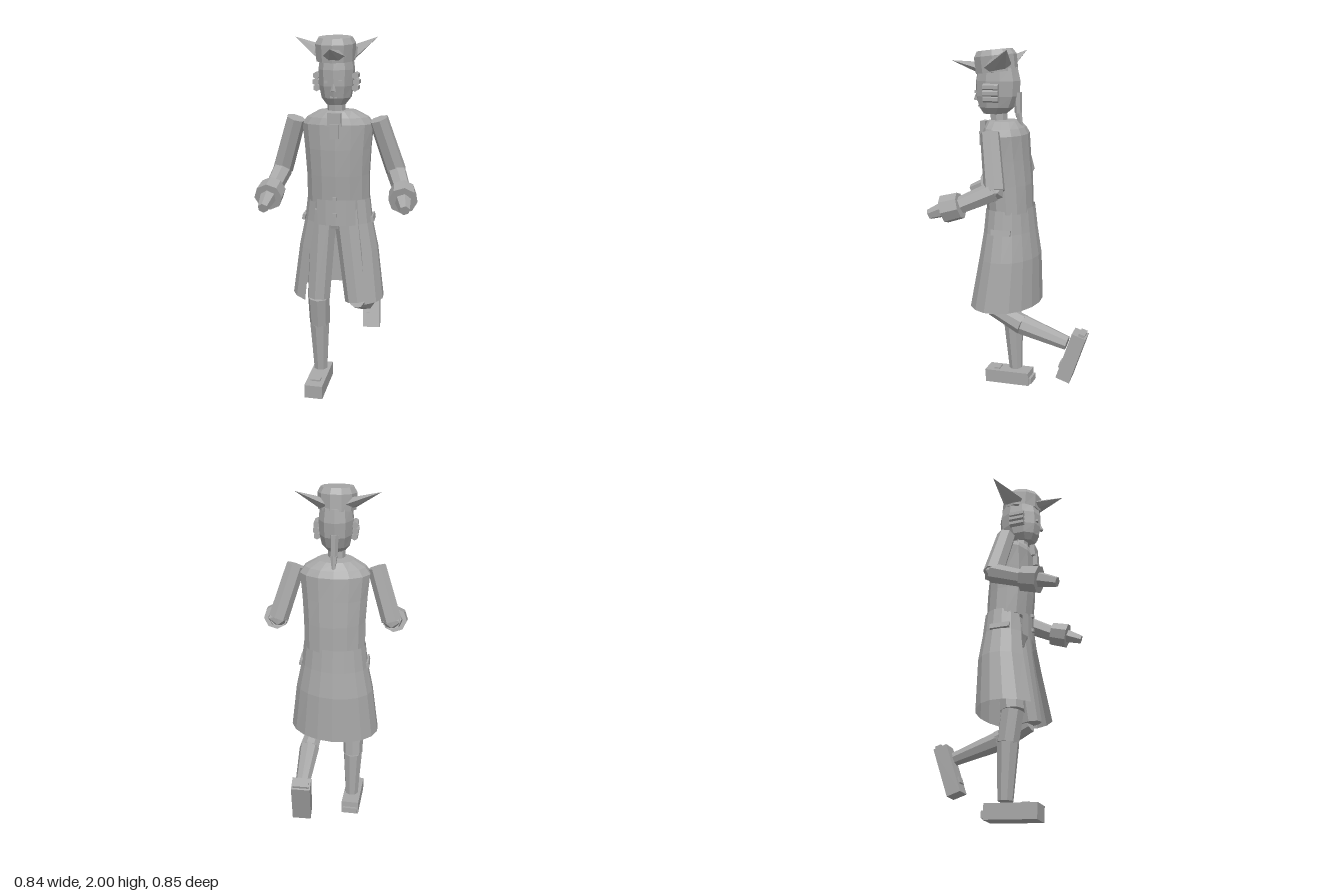
import * as THREE from 'three';

const V = (x, y, z) => new THREE.Vector3(x, y, z);

export function createModel() {
  const root = new THREE.Group();
  const clay = new THREE.MeshStandardMaterial({ color: 0xa8a8a8, flatShading: true, side: THREE.DoubleSide });
  clay.name = 'plain grey';

  function add(name, geometry, parent = root) {
    const mesh = new THREE.Mesh(geometry, clay);
    mesh.name = name;
    parent.add(mesh);
    return mesh;
  }
  function box(name, size, pos, parent) {
    const mesh = add(name, new THREE.BoxGeometry(...size), parent);
    mesh.position.set(...pos);
    return mesh;
  }
  // Tapered round bar between two points
  function bar(name, a, b, ra, rb, sides = 8) {
    const p = V(...a), q = V(...b), dir = q.clone().sub(p);
    const mesh = add(name, new THREE.CylinderGeometry(rb, ra, dir.length(), sides));
    mesh.position.copy(p).add(q).multiplyScalar(0.5);
    mesh.quaternion.setFromUnitVectors(V(0, 1, 0), dir.normalize());
    return mesh;
  }
  // Surface through a stack of point rows
  function skin(rows) {
    const pos = [];
    for (let i = 0; i < rows.length - 1; i++) {
      for (let j = 0; j < rows[i].length - 1; j++) {
        const a = rows[i][j], b = rows[i][j + 1], c = rows[i + 1][j + 1], d = rows[i + 1][j];
        for (const p of [a, b, c, a, c, d]) pos.push(p.x, p.y, p.z);
      }
    }
    const g = new THREE.BufferGeometry();
    g.setAttribute('position', new THREE.Float32BufferAttribute(pos, 3));
    g.computeVertexNormals();
    return g;
  }
  // Elliptical rows from the bottom up: [y, centre z, radius x, radius z]
  const CX = -0.015;
  function rings(rows, sides, from = 0, to = Math.PI * 2, shear = 0) {
    return skin(rows.map(([y, cz, rx, rz]) => Array.from({ length: sides + 1 }, (_, i) => {
      const t = from + (to - from) * i / sides;
      const x = rx * Math.sin(t);
      return V(CX + x, y, cz + rz * Math.cos(t) + shear * x);
    })));
  }

  // Coat: body, waist front, open skirt
  add('coatBody', rings([
    [1.13, 0.06, 0, 0], [1.13, 0.06, 0.172, 0.125], [1.28, 0.07, 0.172, 0.13], [1.42, 0.08, 0.18, 0.127],
    [1.55, 0.085, 0.192, 0.122], [1.585, 0.09, 0.165, 0.108], [1.62, 0.1, 0.1, 0.085], [1.625, 0.12, 0, 0],
  ], 14));
  add('waistFront', rings([[1.01, 0.06, 0.174, 0.13], [1.15, 0.06, 0.174, 0.13]], 4, -0.64, 0.64));
  add('coatSkirt', rings([
    [0.59, 0.085, 0.258, 0.195], [0.87, 0.062, 0.222, 0.165], [1.02, 0.06, 0.19, 0.142], [1.15, 0.06, 0.174, 0.128],
  ], 14, 0.7, Math.PI * 2 - 0.7, 0.08));
  add('breechesSeat', rings([
    [0.98, 0.07, 0, 0], [0.98, 0.07, 0.1, 0.07], [1.05, 0.07, 0.14, 0.09], [1.14, 0.06, 0.15, 0.1],
  ], 10));
  for (const y of [1.38, 1.16, 1.07]) {
    box('button', [0.02, 0.02, 0.02], [-0.02, y, 0.192], root);
  }
  for (const s of [-1, 1]) {
    const flap = box('pocketFlap', [0.016, 0.03, 0.11], [CX + s * 0.188, 1.035, 0.06], root);
    flap.rotation.z = s * 0.2;
  }

  // Neck and cravat
  bar('neck', [-0.018, 1.59, 0.125], [-0.018, 1.69, 0.13], 0.048, 0.048);
  box('cravatKnot', [0.07, 0.07, 0.03], [-0.017, 1.58, 0.21], root);
  box('cravatFall', [0.045, 0.075, 0.025], [-0.016, 1.52, 0.222], root);

  // Head, face and hair
  add('head', rings([
    [1.655, 0.15, 0, 0], [1.655, 0.15, 0.05, 0.065], [1.69, 0.14, 0.078, 0.1], [1.75, 0.133, 0.09, 0.123],
    [1.83, 0.13, 0.094, 0.126], [1.9, 0.13, 0.085, 0.11], [1.91, 0.13, 0, 0],
  ], 10));
  for (const s of [-1, 1]) {
    box('eye', [0.018, 0.014, 0.014], [-0.018 + s * 0.036, 1.772, 0.244], root);
    for (const [y, out] of [[1.8, 0.1], [1.768, 0.104], [1.738, 0.099]]) {
      bar('sideCurl', [CX + s * out, y, 0.095], [CX + s * out, y, 0.18], 0.018, 0.018, 6);
    }
  }
  bar('nose', [-0.016, 1.765, 0.25], [-0.016, 1.725, 0.258], 0.006, 0.014, 4);
  box('mouth', [0.035, 0.008, 0.01], [-0.016, 1.695, 0.235], root);
  bar('ponytail', [-0.015, 1.77, 0.02], [-0.013, 1.66, 0.015], 0.022, 0.02, 6);
  bar('ponytailEnd', [-0.013, 1.66, 0.015], [-0.012, 1.59, -0.002], 0.02, 0.01, 6);

  // Three-cornered hat, dipping slightly to the front
  const crown = add('hatCrown', rings([
    [-0.055, 0, 0.1, 0.118], [0.03, 0, 0.105, 0.118], [0.06, 0, 0.088, 0.098], [0.06, 0, 0, 0],
  ], 11));
  crown.position.set(-0.005, 1.93, 0.145);
  crown.rotation.x = 0.1;
  // Horn from a diamond base to a tip: centre, half width, half height, tip
  function horn(name, c, w, h, tip) {
    const o = V(...c), a = V(...w), b = V(...h);
    const base = [0, 1, 2, 3, 4, 5, 6].map((i) => o.clone()
      .addScaledVector(a, Math.cos(i * Math.PI / 3)).addScaledVector(b, Math.sin(i * Math.PI / 3)));
    add(name, skin([base.map(() => o), base, base.map(() => V(...tip))]));
  }
  horn('frontHorn', [-0.015, 1.895, 0.225], [0.06, 0, 0], [0, 0.036, 0.01], [-0.012, 1.935, 0.395]);
  horn('rightHorn', [-0.095, 1.91, 0.11], [0.03, 0.01, -0.065], [-0.015, 0.04, 0], [-0.25, 1.99, 0.035]);
  horn('leftHorn', [0.065, 1.91, 0.105], [-0.03, 0.01, -0.065], [0.015, 0.04, 0], [0.185, 1.99, 0.017]);

  // Arms: shoulder, elbow, wrist, cuff end, fingertips
  const arms = {
    right: [[-0.235, 1.575, 0.11], [-0.325, 1.29, 0.065], [-0.343, 1.215, 0.235], [-0.347, 1.19, 0.325], [-0.352, 1.155, 0.42]],
    left: [[0.2, 1.575, 0.105], [0.295, 1.29, 0.05], [0.34, 1.215, 0.22], [0.347, 1.19, 0.31], [0.36, 1.16, 0.39]],
  };
  for (const [side, [shoulder, elbow, wrist, cuff, tip]] of Object.entries(arms)) {
    bar(side + 'UpperArm', shoulder, elbow, 0.052, 0.056, 7);
    bar(side + 'Forearm', elbow, wrist, 0.054, 0.046, 7);
    add(side + 'Elbow', new THREE.IcosahedronGeometry(0.054, 0)).position.set(...elbow);
    bar(side + 'Cuff', wrist, cuff, 0.07, 0.074, 8);
    bar(side + 'Hand', cuff, tip, 0.042, 0.027, 6);
  }

  // Legs: hip, knee, calf, ankle
  const legs = {
    right: [[-0.095, 1.08, 0.08], [-0.125, 0.57, 0.105], [-0.125, 0.4, 0.08], [-0.123, 0.11, 0.065]],
    left: [[0.03, 1.08, 0.08], [0.095, 0.57, 0.135], [0.125, 0.5, -0.05], [0.135, 0.425, -0.31]],
  };
  for (const [side, [hip, knee, calf, ankle]] of Object.entries(legs)) {
    bar(side + 'Thigh', hip, knee, 0.075, 0.066);
    bar(side + 'UpperShin', knee, calf, side === 'left' ? 0.045 : 0.062, 0.058);
    bar(side + 'LowerShin', calf, ankle, 0.058, 0.04);
  }

  // Shoes with heel plate and buckle, toe along local z
  function shoe(name, pos, rx, ry) {
    const g = new THREE.Group();
    g.name = name;
    g.position.set(...pos);
    g.rotation.set(rx, ry, 0);
    root.add(g);
    box('shoeBody', [0.103, 0.08, 0.28], [0, 0, 0], g);
    box('heelPlate', [0.085, 0.035, 0.02], [0, -0.012, -0.145], g);
    box('buckle', [0.055, 0.012, 0.035], [0, 0.043, 0.07], g);
  }
  shoe('rightShoe', [-0.128, 0.05, 0.108], 0.06, -0.07);
  shoe('leftShoe', [0.135, 0.355, -0.34], 1.26, 0.03);

  return root;
}
